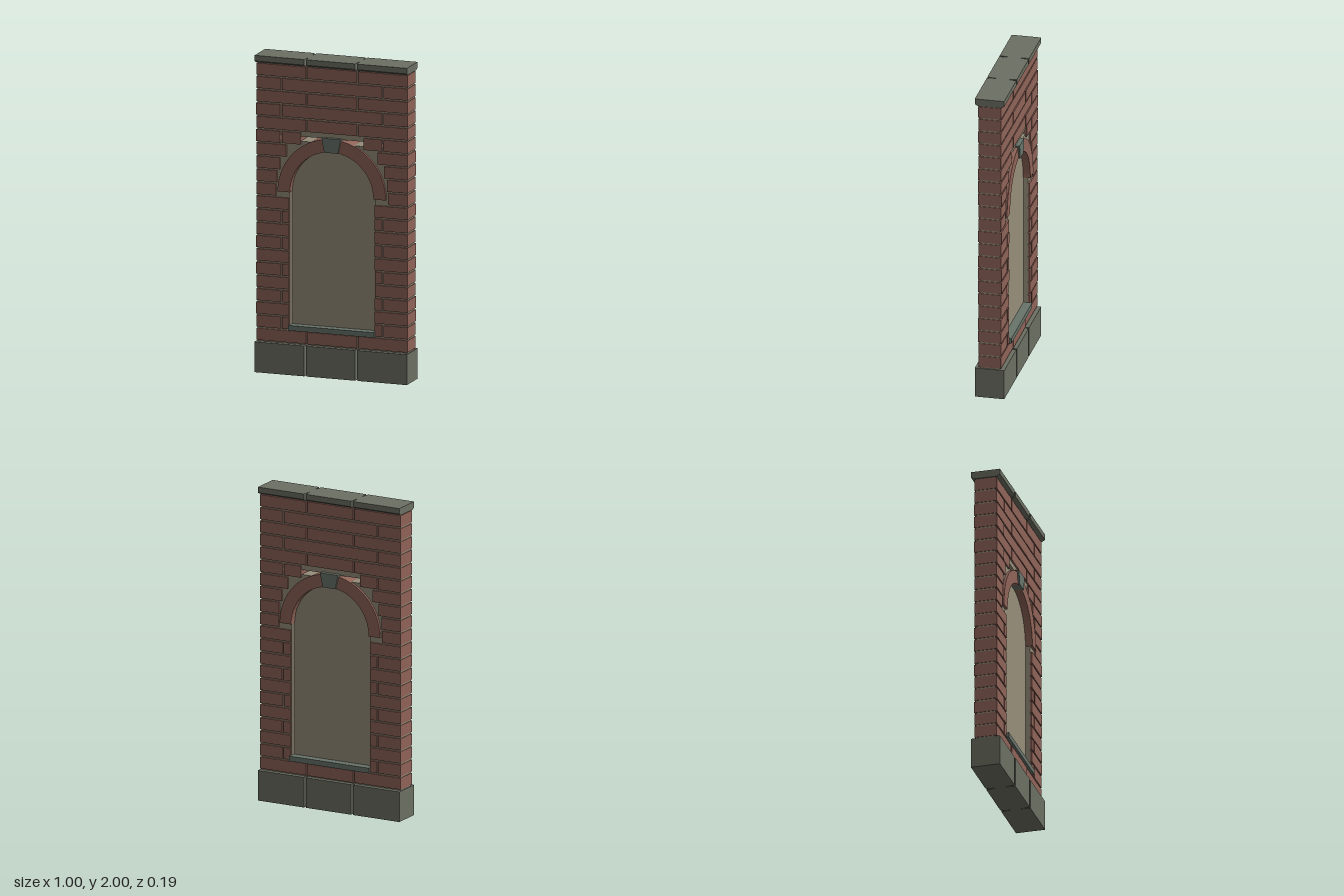
import * as THREE from 'three';

const mat = (name, color) => {
  const m = new THREE.MeshStandardMaterial({ color });
  m.name = name;
  return m;
};

export function createModel() {
  const wall = new THREE.Group();
  wall.name = 'archedWindowWall';
  const brick = mat('brick red', 0x8f6358);
  const mortar = mat('mortar tan', 0x968e7a);
  const stone = mat('grey stone', 0x6c6f62);
  const trim = mat('green grey trim', 0x68746a);

  const add = (name, geo, material, parent = wall) => {
    const m = new THREE.Mesh(geo, material);
    m.name = name;
    parent.add(m);
    return m;
  };
  const subgroup = (name) => {
    const g = new THREE.Group();
    g.name = name;
    wall.add(g);
    return g;
  };
  const box = (name, x0, x1, y0, y1, halfDepth, material, parent) => {
    const m = add(name, new THREE.BoxGeometry(x1 - x0, y1 - y0, halfDepth * 2), material, parent);
    m.position.set((x0 + x1) / 2, (y0 + y1) / 2, 0);
  };
  const polygon = (pts) => new THREE.Shape(pts.map(([x, y]) => new THREE.Vector2(x, y)));
  // Front-facing shape extruded evenly to both sides of z = 0
  const slab = (shape, halfDepth) => new THREE.ExtrudeGeometry(shape, {
    depth: halfDepth * 2, bevelEnabled: false, curveSegments: 14,
  }).translate(0, 0, -halfDepth);

  let seed = 7;
  const rand = () => (seed = (seed * 16807) % 2147483647) / 2147483647;

  // Base and cap stones, separated by V-shaped notches front and back
  const stones = (name, y0, y1, chamfer) => {
    const g = subgroup(name);
    const T = 1 / 3;
    for (let i = 0; i < 3; i++) {
      const a = -0.5 + i * T, b = a + T;
      const na = i > 0 ? 0.008 : 0, nb = i < 2 ? 0.008 : 0;
      const plan = polygon([
        [a + na, -0.093], [b - nb, -0.093], [b, -0.03], [b, 0.03],
        [b - nb, 0.093], [a + na, 0.093], [a, 0.03], [a, -0.03],
      ]);
      const geo = new THREE.ExtrudeGeometry(plan, {
        depth: y1 - y0, steps: chamfer ? 4 : 1, bevelEnabled: false,
      }).rotateX(-Math.PI / 2);
      // Undercut the lower edge of the cap
      const p = geo.attributes.position;
      for (let k = 0; k < p.count; k++) {
        if (chamfer && p.getY(k) < 0.001) p.setZ(k, p.getZ(k) * 0.78);
      }
      geo.computeVertexNormals();
      add('stone', geo, stone, g).position.y = y0;
    }
  };
  stones('baseStones', 0, 0.192, false);
  stones('capStones', 1.953, 2, true);

  // Mortar core with the arched opening, and the solid band above the arch
  const springY = 1.15, sillY = 0.28;
  const core = polygon([[-0.492, 0.15], [0.492, 0.15], [0.492, 1.475], [-0.492, 1.475]]);
  const opening = new THREE.Path();
  opening.moveTo(-0.278, sillY);
  opening.lineTo(-0.278, springY);
  opening.absarc(0, springY, 0.278, Math.PI, 0, true);
  opening.lineTo(0.278, sillY);
  opening.closePath();
  core.holes.push(opening);
  add('mortarCore', slab(core, 0.061), mortar);
  box('upperMortarCore', -0.492, 0.492, 1.505, 1.96, 0.061, mortar);

  // Recessed panel closing the opening
  box('recessedPanel', -0.285, 0.285, sillY - 0.01, 1.47, 0.032, mortar);

  // Running-bond brick courses, cut back around the opening
  const bricks = subgroup('brickCourses');
  const rows = 21, y0 = 0.195, pitch = (1.953 - y0) / rows, gap = 0.005;
  const cutAt = { 11: 0.366, 12: 0.362, 13: 0.342, 14: 0.3, 15: 0.208 };
  for (let r = 0; r < rows; r++) {
    const joints = r % 2 ? [-0.5, -1 / 3, 0, 1 / 3, 0.5] : [-0.5, -1 / 6, 1 / 6, 0.5];
    const cut = r > 0 && r <= 10 ? 0.281 : cutAt[r] ?? 0;
    const lay = (a, b) => {
      if (b - a < 0.02) return;
      const l = a <= -0.5 ? -0.496 : a + (Math.abs(a) === cut ? 0 : gap);
      const e = b >= 0.5 ? 0.496 : b - (Math.abs(b) === cut ? 0 : gap);
      const bottom = y0 + r * pitch;
      box('brick', l, e, bottom + gap, bottom + pitch - gap, 0.07 + rand() * 0.004, brick, bricks);
    };
    for (let i = 0; i < joints.length - 1; i++) {
      const a = joints[i], b = joints[i + 1];
      if (!cut) lay(a, b);
      else {
        lay(a, Math.min(b, -cut));
        lay(Math.max(a, cut), b);
      }
    }
  }

  // Brick arch ring
  const ring = new THREE.Shape();
  ring.absarc(0, springY, 0.355, 0, Math.PI, false);
  ring.absarc(0, springY, 0.274, Math.PI, 0, true);
  ring.closePath();
  add('archRing', slab(ring, 0.077), brick);

  // Keystone and window sill
  add('keystone', slab(polygon([[-0.045, 1.422], [0.045, 1.422], [0.063, 1.512], [-0.063, 1.512]]), 0.088), trim);
  box('windowSill', -0.282, 0.282, 0.279, 0.312, 0.087, trim);

  return wall;
}
